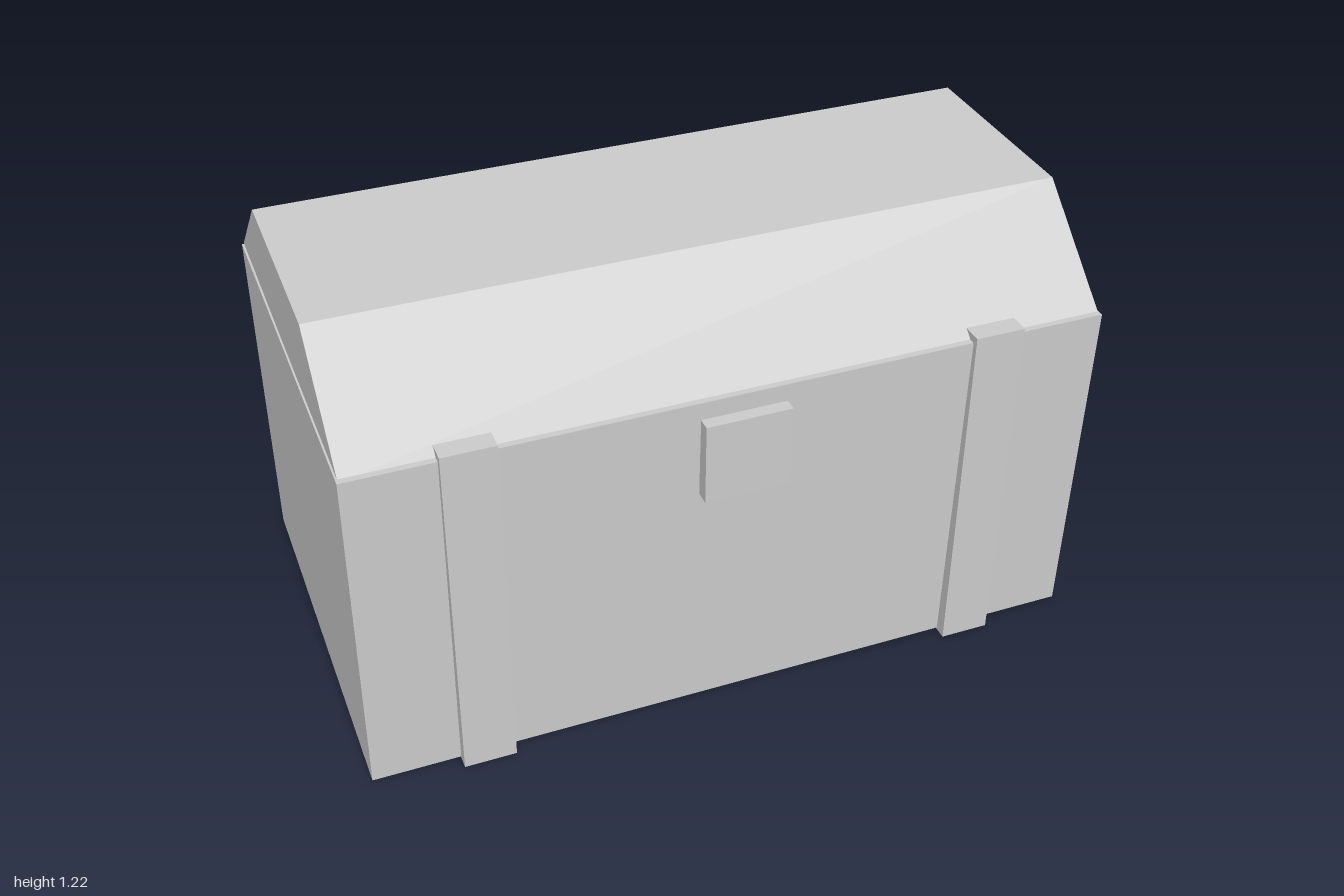
import * as THREE from 'three';

const wood = new THREE.MeshStandardMaterial({ color: 0xcccccc });
wood.name = 'paleGrey';

// Box given by its lower and upper limits on each axis
function block(name, [x0, x1], [y0, y1], [z0, z1]) {
  const geometry = new THREE.BoxGeometry(x1 - x0, y1 - y0, z1 - z0);
  geometry.translate((x0 + x1) / 2, (y0 + y1) / 2, (z0 + z1) / 2);
  const mesh = new THREE.Mesh(geometry, wood);
  mesh.name = name;
  return mesh;
}

// Prism along x from a side profile of [z, y] points
function prism(name, profile, x0, x1) {
  const shape = new THREE.Shape(profile.map(([z, y]) => new THREE.Vector2(-z, y)));
  const geometry = new THREE.ExtrudeGeometry(shape, { depth: x1 - x0, bevelEnabled: false });
  geometry.rotateY(Math.PI / 2);
  geometry.translate(x0, 0, 0);
  const mesh = new THREE.Mesh(geometry, wood);
  mesh.name = name;
  return mesh;
}

export function createModel() {
  const chest = new THREE.Group();
  chest.name = 'chest';

  // Body, a little wider at the top
  chest.add(prism('body',
    [[0.557, 0.005], [-0.575, 0.008], [-0.588, 0.962], [0.577, 0.975]], -0.995, 0.997));

  // Lid with a flat top and sloping front and back
  chest.add(prism('lid',
    [[0.567, 0.968], [-0.583, 0.968], [-0.296, 1.222], [0.278, 1.222]], -0.99, 0.995));

  // Straps running through the chest, showing at front, back and below
  chest.add(block('rightStrap', [-0.76, -0.62], [0, 0.995], [-0.608, 0.592]));
  chest.add(block('leftStrap', [0.625, 0.76], [0, 0.995], [-0.608, 0.592]));

  // Lock plate
  chest.add(block('lockPlate', [-0.11, 0.118], [0.698, 0.925], [0.55, 0.611]));

  return chest;
}
